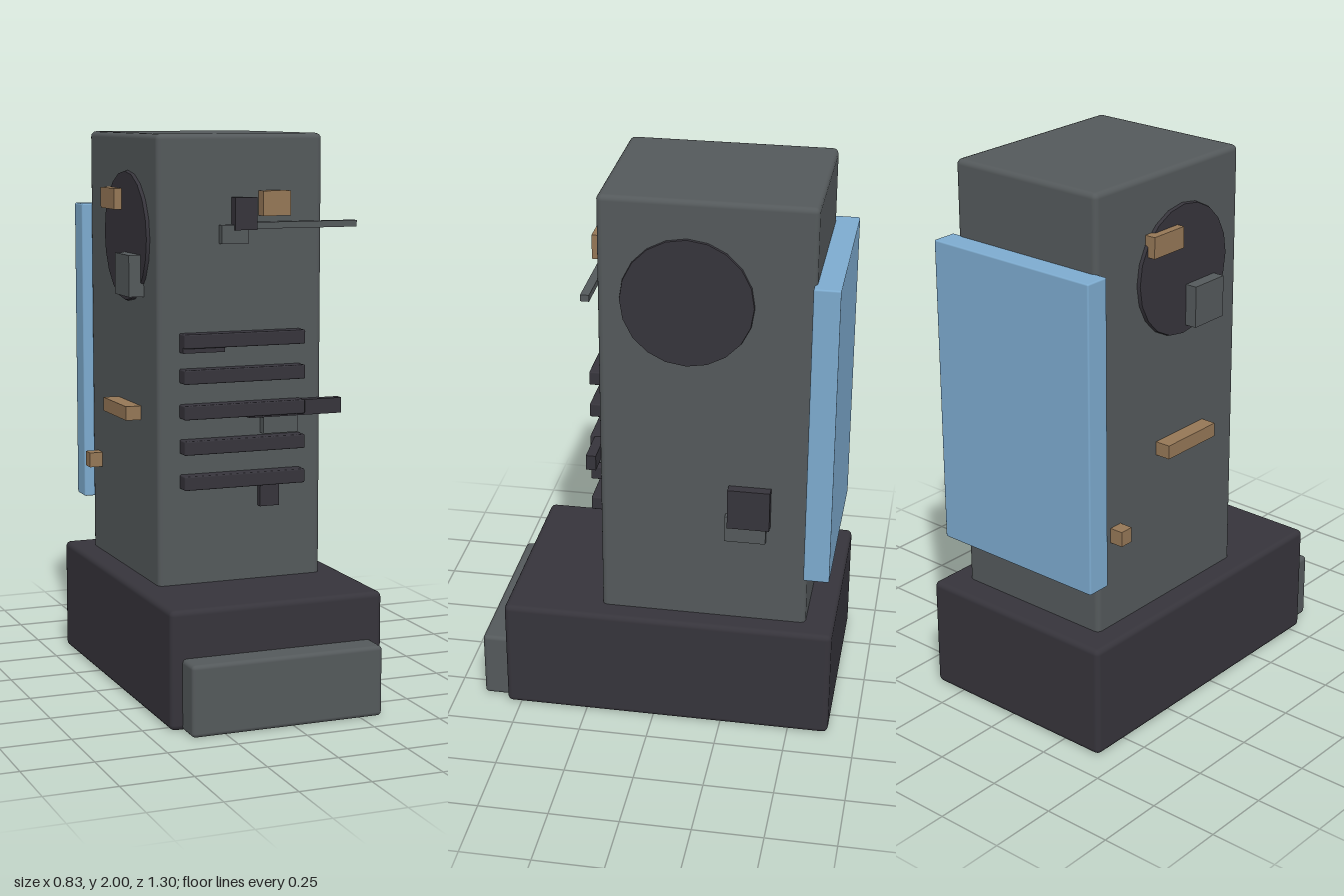
import * as THREE from 'three';
import { RoundedBoxGeometry } from 'three/addons/geometries/RoundedBoxGeometry.js';

export function createModel() {
  const model = new THREE.Group();
  model.name = 'tower';

  const material = (name, color) => {
    const m = new THREE.MeshStandardMaterial({ color });
    m.name = name;
    return m;
  };
  const grey = material('steelGrey', 0x54595b);
  const dark = material('charcoal', 0x36343b);
  const blue = material('paleBlue', 0x7dabcf);
  const brown = material('bronze', 0x957756);

  // Box between two limits on each axis, with optional rounded edges
  function box(name, mat, [x0, x1], [y0, y1], [z0, z1], bevel = 0) {
    const size = [x1 - x0, y1 - y0, z1 - z0];
    const geometry = bevel
      ? new RoundedBoxGeometry(...size, 2, bevel)
      : new THREE.BoxGeometry(...size);
    const mesh = new THREE.Mesh(geometry, mat);
    mesh.name = name;
    mesh.position.set((x0 + x1) / 2, (y0 + y1) / 2, (z0 + z1) / 2);
    model.add(mesh);
  }

  // Main masses
  box('base', dark, [-0.415, 0.372], [0, 0.417], [-0.648, 0.552], 0.02);
  box('toeBlock', grey, [-0.373, 0.33], [0, 0.25], [0.45, 0.648], 0.015);
  box('body', grey, [-0.33, 0.29], [0.38, 2], [-0.545, 0.2], 0.02);
  box('backPanel', blue, [-0.367, 0.32], [0.61, 1.73], [-0.627, -0.535], 0.006);

  // Round side hubs, slightly tapered outward
  for (const side of [-1, 1]) {
    const hub = new THREE.Mesh(new THREE.CylinderGeometry(0.23, 0.237, 0.03, 20), dark);
    hub.name = side > 0 ? 'leftHub' : 'rightHub';
    hub.rotation.z = -side * Math.PI / 2;
    hub.position.set(-0.022 + side * 0.305, 1.635, -0.108);
    model.add(hub);
  }

  // Front vent bars
  for (let i = 0; i < 5; i++) {
    const y = 1.287 - i * 0.1248;
    box('ventBar', dark, [-0.25, 0.207], [y - 0.025, y + 0.025], [0.19, 0.251], 0.005);
  }

  // Small fittings on the front
  const front = (name, mat, x, y, z) => box(name, mat, x, y, [0.18, z]);
  front('upperDarkBlock', dark, [-0.055, 0.028], [1.667, 1.78], 0.236);
  front('upperBronzeBlock', brown, [0.047, 0.15], [1.715, 1.802], 0.245);
  front('upperGreyBlock', grey, [-0.102, 0], [1.62, 1.685], 0.227);
  box('upperRod', grey, [0.02, 0.412], [1.67, 1.693], [0.2, 0.23]);
  front('ventTrim', dark, [-0.25, -0.095], [1.245, 1.28], 0.237);
  box('middleRod', dark, [0, 0.355], [1.005, 1.06], [0.2, 0.235]);
  front('middleGreyBlock', grey, [0.055, 0.187], [0.945, 1.02], 0.23);
  front('lowerDarkBlock', dark, [0.045, 0.117], [0.683, 0.765], 0.226);

  // Fittings on the left side
  box('leftDarkBlock', dark, [0.27, 0.327], [0.802, 0.953], [-0.41, -0.26]);
  box('leftGreyBlock', grey, [0.27, 0.315], [0.742, 0.84], [-0.396, -0.25]);

  // Fittings on the right side
  const right = (name, mat, x, y, z) => box(name, mat, [x, -0.31], y, z);
  right('rightUpperBlock', brown, -0.37, [1.727, 1.802], [-0.298, -0.145]);
  right('rightGreyBlock', grey, -0.385, [1.43, 1.577], [-0.095, 0.057]);
  right('rightBar', brown, -0.387, [0.987, 1.037], [-0.235, 0.02]);
  right('rightLowerBlock', brown, -0.38, [0.742, 0.797], [-0.478, -0.426]);

  return model;
}
